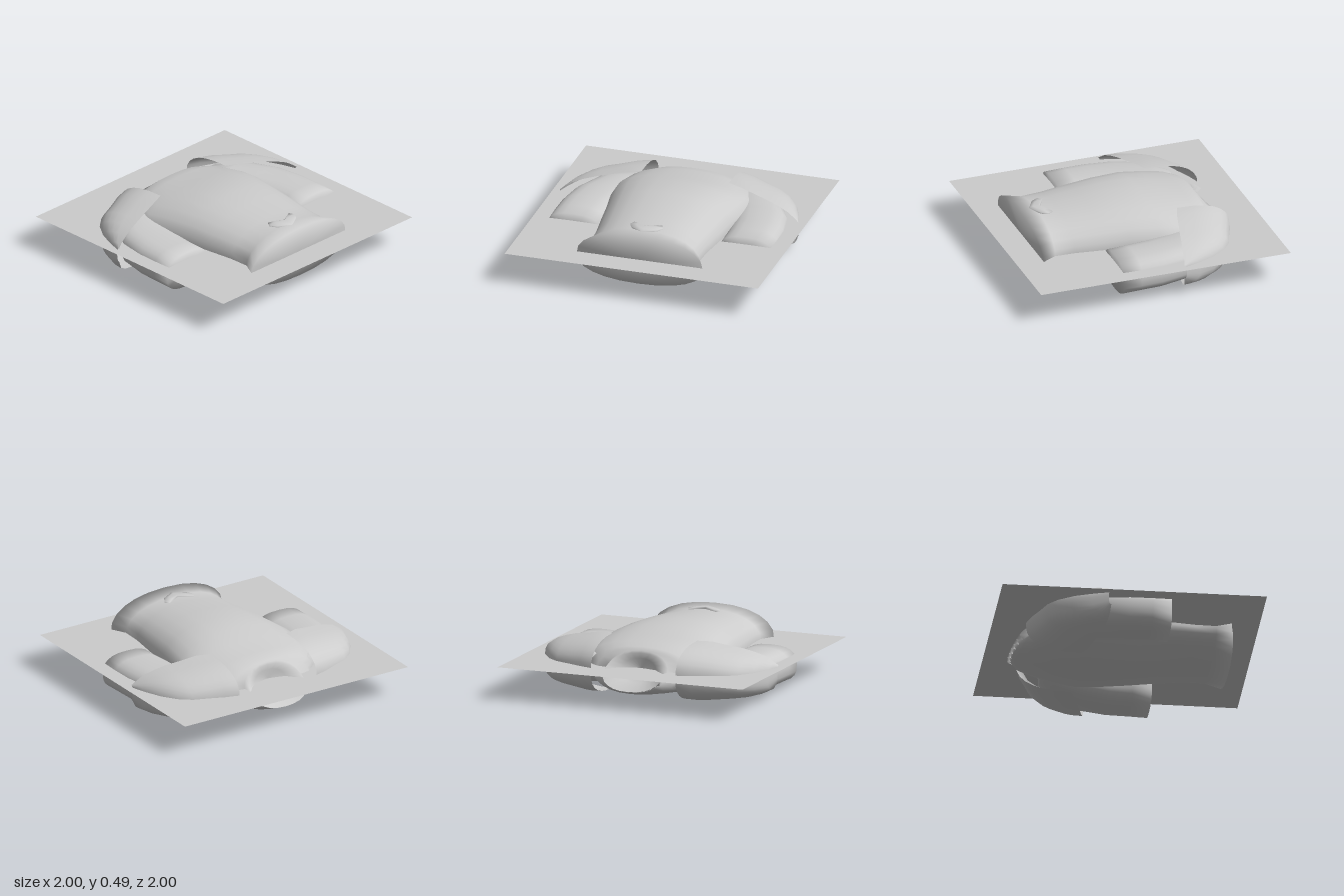
import * as THREE from 'three';

const grey = new THREE.MeshStandardMaterial({ color: 0xcccccc, side: THREE.DoubleSide });
grey.name = 'plain grey';

// Skin a grid of cross-sections; closed sections wrap around
function skin(name, sections, closed) {
  const n = sections[0].length, index = [];
  for (let i = 0; i < sections.length - 1; i++) {
    for (let j = 0; j < (closed ? n : n - 1); j++) {
      const k = (j + 1) % n;
      const a = i * n + j, b = i * n + k, c = a + n, d = b + n;
      index.push(a, c, b, b, c, d);
    }
  }
  const geo = new THREE.BufferGeometry();
  geo.setAttribute('position', new THREE.Float32BufferAttribute(sections.flat(2), 3));
  geo.setIndex(index);
  geo.computeVertexNormals();
  const mesh = new THREE.Mesh(geo, grey);
  mesh.name = name;
  return mesh;
}

const power = (v, p) => Math.sign(v) * Math.pow(Math.abs(v), p);

// Closed oval section facing z; dTop and dBottom bend its upper and lower edge along z
function oval({ z, w, top, bottom, mid = (top + bottom) / 2, cx = 0, dTop = 0, dBottom = 0, p = 0.9 }) {
  const points = [];
  for (let j = 0; j < 24; j++) {
    const a = (j / 24) * Math.PI * 2;
    const c = power(Math.cos(a), p), s = power(Math.sin(a), p);
    points.push([
      cx + w * c,
      mid + s * (s > 0 ? top - mid : mid - bottom),
      z + (s > 0 ? dTop * s : -dBottom * s),
    ]);
  }
  return points;
}

// Torso from the closed waist to the hollow, slanted collar
function torso() {
  const rings = [
    [0.79, 0, 0.23, 0.23, 0, 0],
    [0.79, 0.5, 0.46, 0.06, 0.03, 0.03],
    [0.68, 0.44, 0.445, 0.085, 0, 0],
    [0.52, 0.445, 0.455, 0.09, 0, 0],
    [0.3, 0.475, 0.475, 0.07, 0, 0],
    [0.1, 0.5, 0.49, 0.045, 0, 0],
    [-0.13, 0.54, 0.48, 0.03, 0, 0],
    [-0.3, 0.56, 0.44, 0.03, 0, 0],
    [-0.47, 0.51, 0.42, 0.04, 0, 0],
    [-0.6, 0.41, 0.4, 0.06, 0.04, -0.06],
    [-0.66, 0.34, 0.385, 0.08, 0.08, -0.12],
    [-0.68, 0.25, 0.375, 0.1, 0.09, -0.14],
    [-0.76, 0.24, 0.36, 0.11, 0.16, -0.09],
    [-0.64, 0.14, 0.32, 0.15, 0.04, -0.06],
    [-0.6, 0, 0.24, 0.24, 0, 0],
  ];
  return skin('torso', rings.map(([z, w, top, bottom, dTop, dBottom]) =>
    oval({ z, w, top, bottom, mid: 0.225, dTop, dBottom })), true);
}

// Short sleeve with a closed cuff
function sleeve(side) {
  const rings = [
    [0.285, 0.68, 0, 0.165, 0.165],
    [0.295, 0.68, 0.215, 0.305, 0.025],
    [0.15, 0.68, 0.215, 0.31, 0.03],
    [-0.02, 0.67, 0.22, 0.315, 0.03],
    [-0.22, 0.63, 0.225, 0.32, 0.04],
    [-0.42, 0.54, 0.2, 0.33, 0.07],
    [-0.56, 0.42, 0.13, 0.32, 0.1],
    [-0.58, 0.4, 0, 0.22, 0.22],
  ];
  return skin(side > 0 ? 'leftSleeve' : 'rightSleeve', rings.map(([z, cx, w, top, bottom]) =>
    oval({ z, cx: cx * side, w, top, bottom, p: 0.75 })), true);
}

// Shoulder guard: C-shaped sections, open towards the sleeve
function shoulderGuard(side) {
  const stations = [
    [0.345, -0.33, -0.75, 0.43, 0.01],
    [0.45, -0.29, -0.72, 0.425, 0.0],
    [0.57, -0.26, -0.67, 0.4, 0.01],
    [0.68, -0.23, -0.63, 0.38, 0.02],
    [0.77, -0.21, -0.56, 0.355, 0.03],
    [0.85, -0.19, -0.45, 0.325, 0.05],
    [0.91, -0.18, -0.31, 0.285, 0.08],
    [0.942, -0.17, -0.19, 0.26, 0.15],
  ];
  const sections = stations.map(([x, front, back, top, bottom]) => {
    const points = [];
    for (let j = 0; j <= 14; j++) {
      const a = (j / 14) * Math.PI;
      points.push([
        x * side,
        (top + bottom) / 2 + ((top - bottom) / 2) * power(Math.cos(a), 0.8),
        front + (back - front) * Math.pow(Math.max(0, Math.sin(a)), 0.8),
      ]);
    }
    return points;
  });
  if (side < 0) sections.reverse();
  return skin(side > 0 ? 'leftShoulderGuard' : 'rightShoulderGuard', sections, false);
}

// Small raised fold at the front of the waist
function waistFold() {
  const outer = [[-0.13, 0.62], [-0.1, 0.67], [0, 0.73], [0.1, 0.67], [0.13, 0.62], [0.11, 0.58], [0, 0.64], [-0.11, 0.58]];
  const ring = (k, y) => outer.map(([x, z]) => [x * k, y, 0.65 + (z - 0.65) * k]);
  return skin('waistFold', [ring(0, 0.462), ring(0.6, 0.461), ring(1, 0.452), ring(1, 0.435)].reverse(), true);
}

export function createModel() {
  const model = new THREE.Group();
  model.name = 'torsoArmour';

  // Flat square sheet through the middle of the body
  const sheet = new THREE.Mesh(new THREE.PlaneGeometry(2, 2), grey);
  sheet.name = 'sheet';
  sheet.rotation.x = -Math.PI / 2;
  sheet.position.y = 0.245;

  model.add(sheet, torso(), waistFold());
  for (const side of [1, -1]) model.add(sleeve(side), shoulderGuard(side));
  return model;
}
